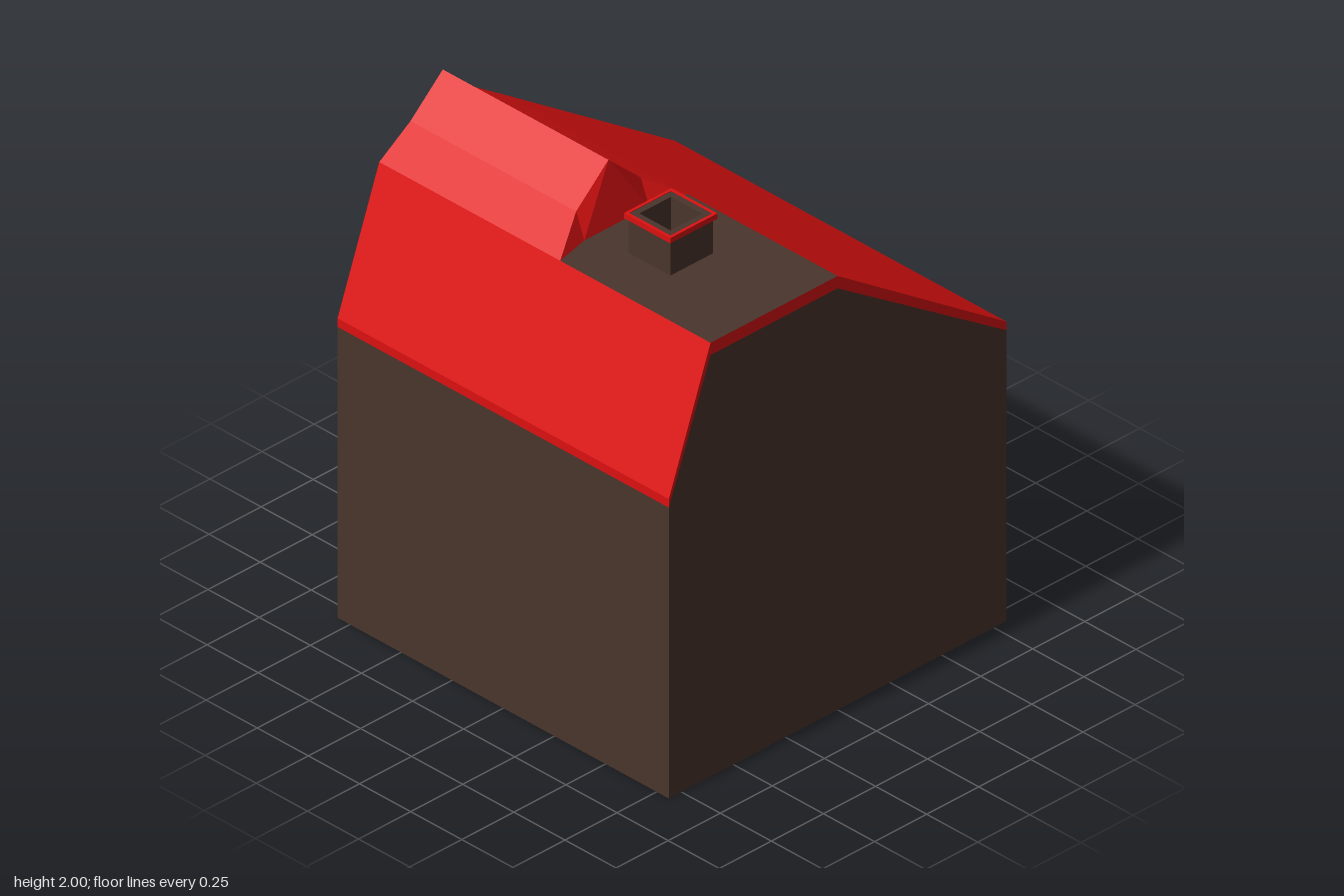
import * as THREE from 'three';

const RED = 0xdd1111, BROWN = 0x4a352c;
const W = 0.81; // half width and half depth
const material = (color) => new THREE.MeshStandardMaterial({ color, flatShading: true });

// Convex polygons, each wound to face away from the middle of the house
function surface(name, color, polygons) {
  const middle = new THREE.Vector3(-0.05, 1, 0.2);
  const positions = [];
  for (const polygon of polygons) {
    const p = polygon.map((c) => new THREE.Vector3(...c));
    for (let i = 1; i < p.length - 1; i++) {
      const normal = p[i].clone().sub(p[0]).cross(p[i + 1].clone().sub(p[0]));
      const out = normal.dot(p[0].clone().sub(middle)) > 0;
      const tri = out ? [p[0], p[i], p[i + 1]] : [p[0], p[i + 1], p[i]];
      tri.forEach((v) => positions.push(v.x, v.y, v.z));
    }
  }
  const geometry = new THREE.BufferGeometry();
  geometry.setAttribute('position', new THREE.Float32BufferAttribute(positions, 3));
  geometry.computeVertexNormals();
  const mesh = new THREE.Mesh(geometry, material(color));
  mesh.name = name;
  return mesh;
}

// Profile points [z, y] placed at a given x
const at = (x, profile) => profile.map(([z, y]) => [x, y, z]);

// One quad per profile segment, swept along x
const sweep = (profile, x0, x1) => profile.slice(1).map(([z, y], i) => {
  const [pz, py] = profile[i];
  return [[x0, py, pz], [x1, py, pz], [x1, y, z], [x0, y, z]];
});

// One quad per segment between two profiles at the same x
const band = (outer, inner, x) => outer.slice(1).map((p, i) =>
  at(x, [outer[i], p, inner[i + 1], inner[i]]));

// Square upright tube around the chimney axis
function squareTube(name, color, outer, inner, y0, y1) {
  const square = (Type, r) => new Type([[-r, -r], [r, -r], [r, r], [-r, r]].map((c) => new THREE.Vector2(...c)));
  const shape = square(THREE.Shape, outer);
  shape.holes.push(square(THREE.Path, inner));
  const geometry = new THREE.ExtrudeGeometry(shape, { depth: y1 - y0, bevelEnabled: false });
  geometry.rotateX(-Math.PI / 2).translate(0.305, y0, 0.305);
  const mesh = new THREE.Mesh(geometry, material(color));
  mesh.name = name;
  return mesh;
}

export function createModel() {
  const house = new THREE.Group();
  house.name = 'house';

  // Roof and wall profiles, from the front eave to the back eave
  const ridge = [[0.61, 1.76], [0.46, 1.86], [0.305, 2], [0.15, 1.86], [0, 1.76]];
  const lowRidge = ridge.map(([z, y]) => [z, y - 0.05]);
  const roofFront = [W, 1.215], roofBack = [-W, 1.215];
  const wallFront = [W, 1.18], wallBack = [-W, 1.18];
  const flatOuter = [roofFront, ridge[0], ridge[4], roofBack];
  const flatInner = [wallFront, lowRidge[0], lowRidge[4], wallBack];
  const gable = [[W, 0], ...flatInner, [-W, 0]];

  // Walls, with the taller gable on the ridged side
  house.add(surface('walls', BROWN, [
    ...sweep([[W, 1.18], [W, 0], [-W, 0], [-W, 1.18]], -W, W),
    at(W, gable),
    at(-W, gable),
    at(-W, [lowRidge[0], lowRidge[1], lowRidge[3], lowRidge[4]]),
    at(-W, lowRidge.slice(1, 4)),
  ]));

  // Main slopes, eave edges and gable trim
  house.add(surface('roofSlopes', RED, [
    ...sweep([wallFront, roofFront, ridge[0]], -W, W),
    ...sweep([ridge[4], roofBack, wallBack], -W, W),
  ]));
  house.add(surface('gableTrim', RED, [
    ...band(flatOuter, flatInner, W),
    ...band([roofFront, ...ridge, roofBack], [wallFront, ...lowRidge, wallBack], -W),
  ]));

  // Raised ridge and its flared end
  const [A, B, C, D, E] = at(0, ridge);
  const A2 = [0.075, 1.76, 0.61], B2 = [0.04, 1.76, 0.46];
  const D2 = [0.04, 1.76, 0.15], E2 = [0.075, 1.76, 0];
  house.add(surface('raisedRidge', RED, sweep(ridge, -W, 0)));
  house.add(surface('ridgeEnd', RED, [
    [C, D2, B2],
    [C, D, D2], [D, E2, D2], [E, D, E2],
    [C, B, B2], [B, A2, B2], [A, B, A2],
  ]));

  // Flat deck
  house.add(surface('roofDeck', BROWN, [[E2, D2, B2, A2, [W, 1.76, 0.61], [W, 1.76, 0]]]));

  // Hollow chimney with a rim
  const chimney = new THREE.Group();
  chimney.name = 'chimney';
  chimney.add(squareTube('chimneyStack', BROWN, 0.102, 0.076, 1.76, 1.92));
  chimney.add(squareTube('chimneyRim', RED, 0.113, 0.101, 1.9, 1.922));
  house.add(chimney);

  return house;
}
